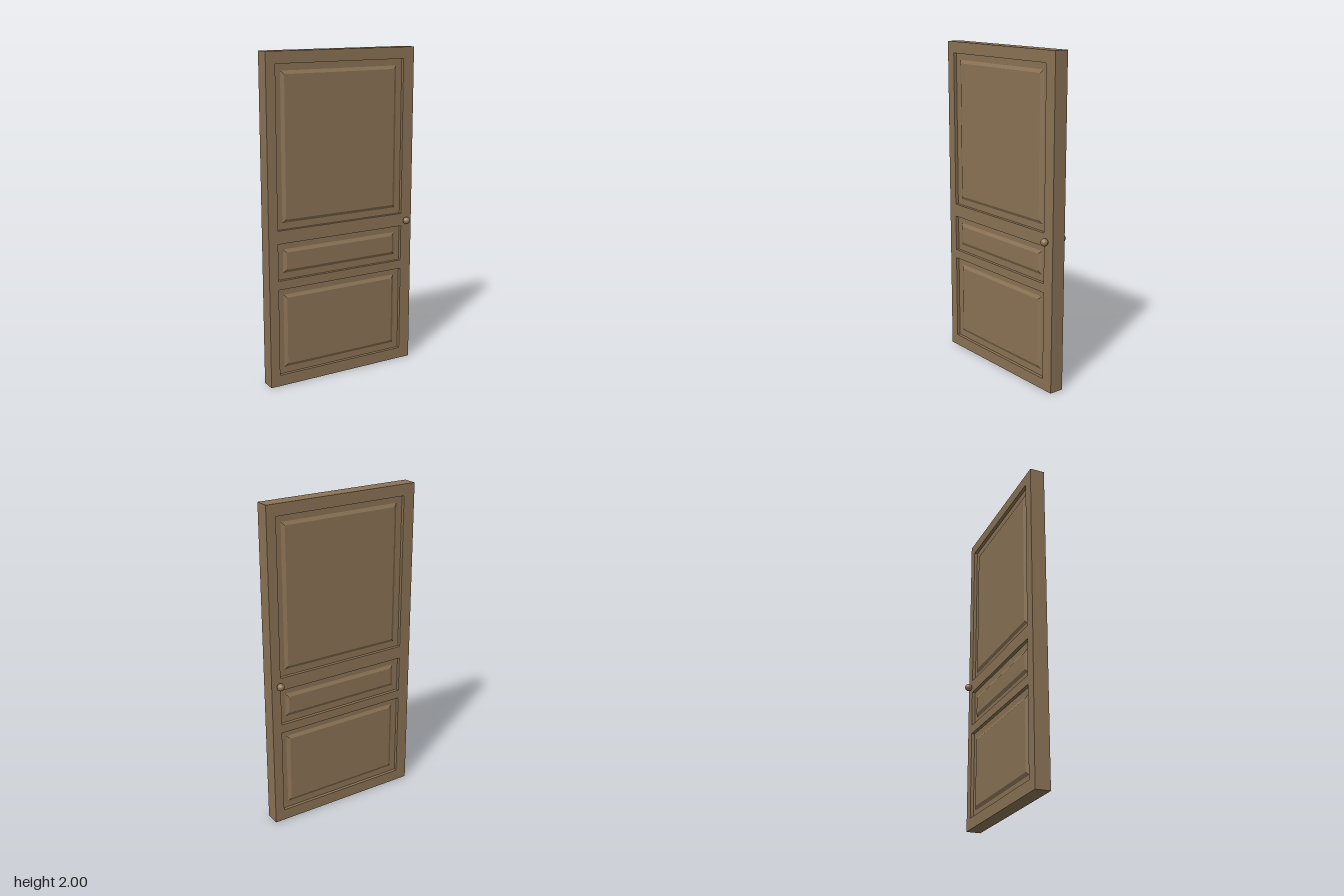
import * as THREE from 'three';

const W = 1, H = 2, T = 0.09, RECESS = 0.02, RISE = 0.011;
const LEFT = -0.44, RIGHT = 0.425;
// bottom and top of each panel opening
const PANELS = [['lower', 0.07, 0.61], ['middle', 0.665, 0.89], ['upper', 0.97, 1.93]];

const wood = new THREE.MeshStandardMaterial({ color: 0x8b7355, flatShading: true });

function part(name, geometry, x = 0, y = 0, z = 0) {
  const mesh = new THREE.Mesh(geometry, wood);
  mesh.name = name;
  mesh.position.set(x, y, z);
  return mesh;
}

function rect(Type, x0, y0, x1, y1) {
  return new Type([[x0, y0], [x1, y0], [x1, y1], [x0, y1]].map(p => new THREE.Vector2(...p)));
}

// Raised field: a box whose front corners are drawn inwards
function fieldGeometry(w, h, depth, inset) {
  const g = new THREE.BoxGeometry(w, h, depth);
  const p = g.attributes.position;
  for (let i = 0; i < p.count; i++) {
    if (p.getZ(i) < 0) continue;
    p.setX(i, p.getX(i) - Math.sign(p.getX(i)) * inset);
    p.setY(i, p.getY(i) - Math.sign(p.getY(i)) * inset);
  }
  g.computeVertexNormals();
  return g;
}

// One face of the door: stiles and rails with raised panels, facing +z
function createFace(name) {
  const face = new THREE.Group();
  face.name = name;
  const outline = rect(THREE.Shape, -W / 2, 0, W / 2, H);
  for (const [, y0, y1] of PANELS) outline.holes.push(rect(THREE.Path, LEFT, y0, RIGHT, y1));
  const frame = new THREE.ExtrudeGeometry(outline, { depth: RECESS, bevelEnabled: false });
  face.add(part('stilesAndRails', frame, 0, 0, T / 2 - RECESS));

  for (const [label, y0, y1] of PANELS) {
    const field = fieldGeometry(RIGHT - LEFT - 0.08, y1 - y0 - 0.08, RISE, 0.02);
    face.add(part(label + 'Panel', field, (LEFT + RIGHT) / 2, (y0 + y1) / 2, T / 2 - RECESS + RISE / 2));
  }
  return face;
}

export function createModel() {
  const door = new THREE.Group();
  door.name = 'door';

  // Solid core between the two faces
  door.add(part('core', new THREE.BoxGeometry(W, H, T - 2 * RECESS), 0, H / 2, 0));

  // The back face is the front face turned half way round
  const back = createFace('backFace');
  back.rotation.y = Math.PI;
  door.add(createFace('frontFace'), back);

  // Faceted knobs on both sides
  const knob = new THREE.IcosahedronGeometry(0.023, 2);
  door.add(part('frontKnob', knob, 0.452, 0.925, 0.067));
  door.add(part('backKnob', knob, 0.452, 0.925, -0.067));
  return door;
}
